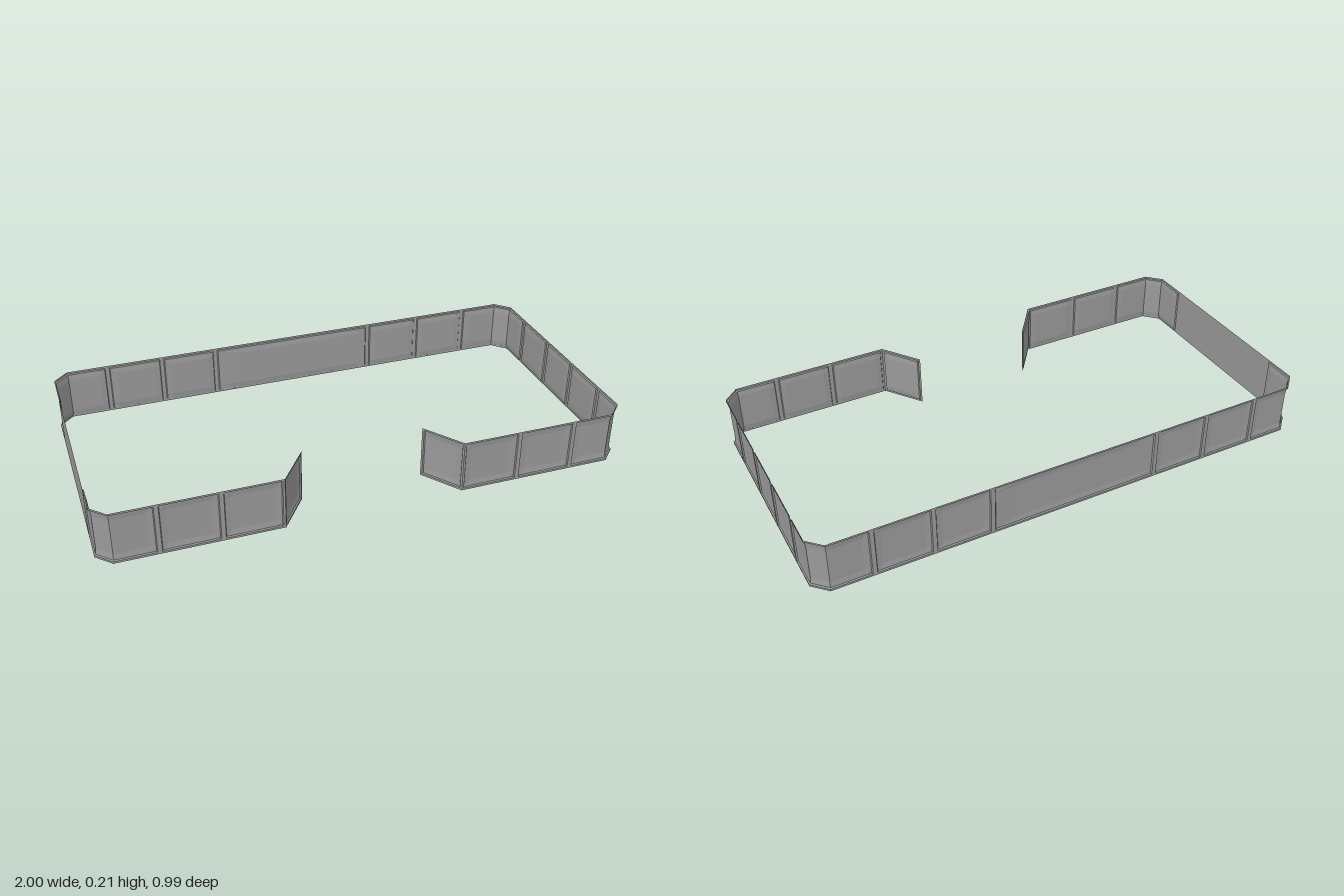
import * as THREE from 'three';

const HEIGHT = 0.207;
// Panel border profiles: [distance from edge, recess depth]
const BORDER = [[0, 0], [0.008, 0], [0.011, 0.005], [0.033, 0.008]];
const LONG_BORDER = [[0, 0], [0.008, 0], [0.012, 0.005], [0.1, 0.008]];
const NO_BORDER = [[0, 0]];
const material = new THREE.MeshStandardMaterial({ color: 0x999999, flatShading: true, side: THREE.DoubleSide });

// A thin wall panel following a plan path of [x, z] points, walked with the outside on the right hand
function panel(name, path, ends = BORDER) {
  const pts = path.map(p => new THREE.Vector2(...p));
  const dirs = pts.slice(1).map((p, i) => p.clone().sub(pts[i]).normalize());
  const normals = dirs.map(d => new THREE.Vector2(-d.y, d.x));
  const last = dirs.length - 1;
  const deepest = ends.at(-1)[1];

  // Columns: start border, mitred bends, end border
  const cols = ends.map(([s, depth]) => ({ p: pts[0].clone().addScaledVector(dirs[0], s), n: normals[0], depth }));
  for (let i = 1; i <= last; i++) {
    const n = normals[i - 1].clone().add(normals[i]).divideScalar(1 + normals[i - 1].dot(normals[i]));
    cols.push({ p: pts[i], n, depth: deepest });
  }
  for (const [s, depth] of [...ends].reverse())
    cols.push({ p: pts[last + 1].clone().addScaledVector(dirs[last], -s), n: normals[last], depth });

  // Rows: bottom border, top border
  const rows = [
    ...BORDER.map(([y, depth]) => ({ y, depth })),
    ...[...BORDER].reverse().map(([y, depth]) => ({ y: HEIGHT - y, depth })),
  ];

  const positions = [], index = [];
  for (const c of cols) for (const r of rows) {
    const d = Math.min(c.depth, r.depth);
    positions.push(c.p.x - c.n.x * d, r.y, c.p.y - c.n.y * d);
  }
  const R = rows.length;
  for (let i = 0; i < cols.length - 1; i++) for (let j = 0; j < R - 1; j++) {
    const a = i * R + j, b = a + R;
    index.push(a, b, b + 1, a, b + 1, a + 1);
  }
  const geometry = new THREE.BufferGeometry();
  geometry.setAttribute('position', new THREE.Float32BufferAttribute(positions, 3));
  geometry.setIndex(index);
  geometry.computeVertexNormals();
  const mesh = new THREE.Mesh(geometry, material);
  mesh.name = name;
  return mesh;
}

export function createModel() {
  const group = new THREE.Group();
  group.name = 'panelledEnclosure';
  const X = 1, Z = 0.495, cx = 0.945, cz = 0.44; // outline and corner chamfers
  const xs = [0.338, 0.562, 0.785];              // joints on the front and back
  const zs = [0.305, 0.1, -0.1, -0.305];         // joints on the side

  for (const s of [1, -1]) {
    const side = s > 0 ? 'left' : 'right';
    // Mirrored paths are reversed to keep the outside on the right hand
    const add = (name, path) => {
      const p = path.map(([x, z]) => [s * x, z]);
      group.add(panel(side + name, s > 0 ? p : p.reverse()));
    };
    // Slanted entrance wings
    add('EntranceWing', [[0.233, 0.351], [xs[0], Z]]);
    // Straight panels of the front and back walls
    for (let i = 0; i < 2; i++) {
      add('FrontPanel' + (i + 1), [[xs[i], Z], [xs[i + 1], Z]]);
      add('BackPanel' + (i + 1), [[xs[i + 1], -Z], [xs[i], -Z]]);
    }
    // Chamfered corners
    add('FrontCorner', [[xs[2], Z], [cx, Z], [X, cz], [X, zs[0]]]);
    add('BackCorner', [[X, zs[3]], [X, -cz], [cx, -Z], [xs[2], -Z]]);
  }

  // Three panels on one side, a plain sheet on the other
  for (let i = 0; i < 3; i++)
    group.add(panel('leftSidePanel' + (i + 1), [[X, zs[i]], [X, zs[i + 1]]]));
  group.add(panel('rightSideSheet', [[-X, zs[3]], [-X, zs[0]]], NO_BORDER));

  // Wide middle panel of the back wall, with long bevels at its ends
  group.add(panel('wideBackPanel', [[xs[0], -Z], [-xs[0], -Z]], LONG_BORDER));
  return group;
}
